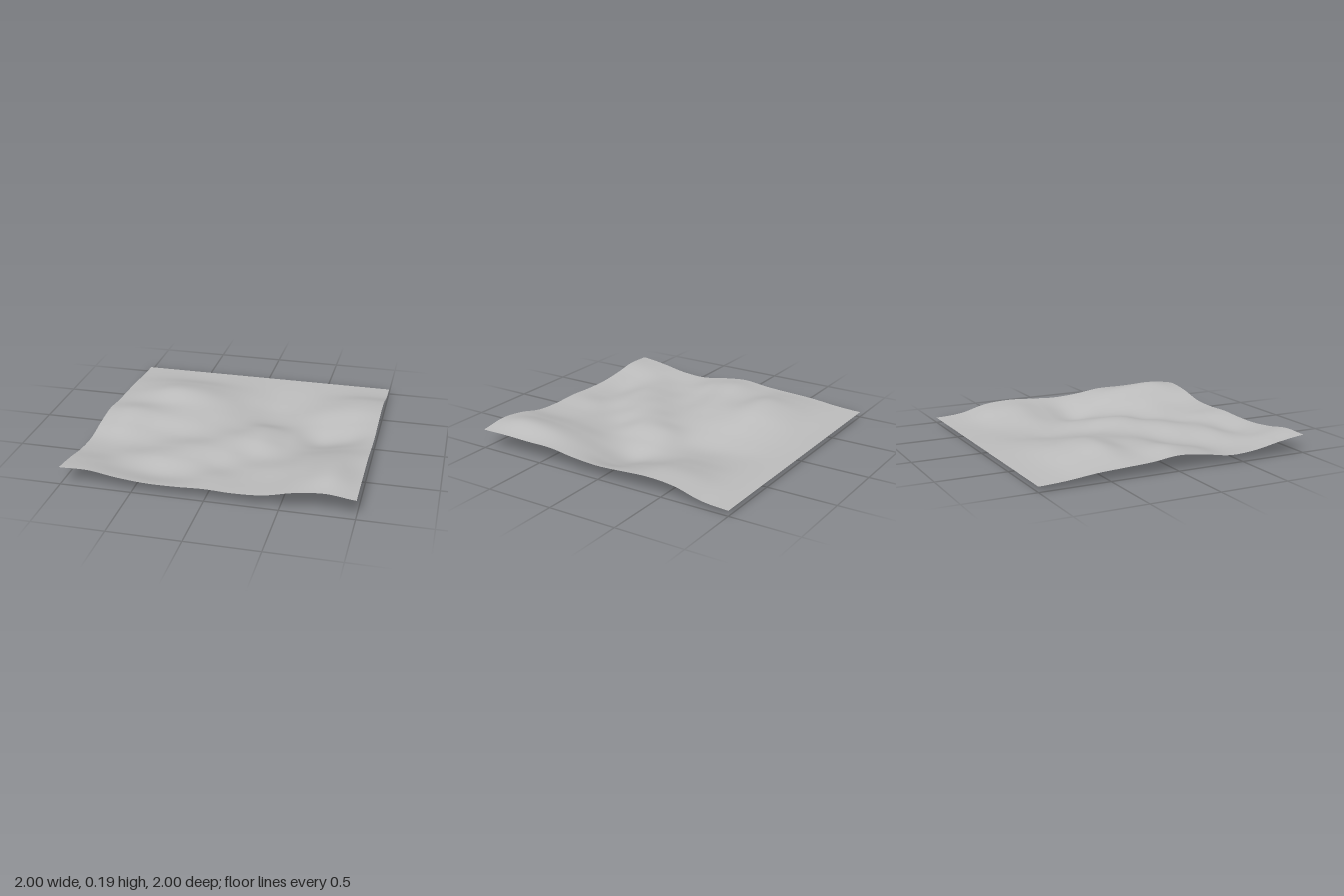
import * as THREE from 'three';

// Control heights in hundredths: rows run from back to front, columns from -x to +x
const HEIGHTS = [
  [4.5, 4.5, 4.5, 4.5, 4.5, 4.5, 4.5, 4.5, 4.5, 4.5, 4.5],
  [5.5, 6.0, 6.2, 6.0, 5.5, 4.7, 4.0, 4.2, 5.0, 6.0, 6.0],
  [7.5, 9.5, 11.3, 10.8, 8.0, 5.0, 2.6, 3.6, 7.0, 10.5, 11.0],
  [8.5, 11.5, 14.9, 13.8, 9.5, 4.5, 1.3, 3.2, 7.5, 11.5, 12.5],
  [9.5, 10.5, 11.0, 11.0, 8.5, 5.0, 2.6, 3.0, 4.0, 8.0, 11.5],
  [11.5, 13.3, 11.0, 9.0, 7.0, 6.5, 8.5, 5.0, 0.7, 4.5, 10.5],
  [9.5, 10.0, 7.0, 5.7, 6.7, 9.0, 9.3, 5.5, 5.5, 9.0, 11.7],
  [6.5, 5.8, 5.5, 7.5, 9.3, 8.5, 5.5, 6.5, 10.8, 14.5, 14.2],
  [7.5, 6.7, 7.7, 8.8, 8.0, 6.0, 6.7, 9.0, 13.8, 18.0, 14.3],
  [11.0, 10.5, 7.5, 5.4, 6.2, 8.5, 8.0, 9.5, 14.8, 19.3, 14.7],
  [13.5, 13.8, 10.8, 9.0, 9.0, 9.8, 9.2, 10.4, 14.8, 16.8, 14.5],
];
const LAST = HEIGHTS.length - 1;
const SEGMENTS = 100;

// Smooth curve through four neighbouring values
function cubic(a, b, c, d, t) {
  return b + 0.5 * t * (c - a + t * (2 * a - 5 * b + 4 * c - d + t * (3 * (b - c) + d - a)));
}

// Samples a list of control values at a fractional index
function sample(at, u) {
  const i = Math.min(Math.floor(u), LAST - 1);
  const value = (k) => at(THREE.MathUtils.clamp(k, 0, LAST));
  return cubic(value(i - 1), value(i), value(i + 1), value(i + 2), u - i);
}

function heightAt(x, z) {
  const u = THREE.MathUtils.clamp((x + 1) / 2, 0, 1) * LAST;
  const v = THREE.MathUtils.clamp((z + 1) / 2, 0, 1) * LAST;
  return Math.max(0, sample((row) => sample((col) => HEIGHTS[row][col], u), v) / 100);
}

export function createModel() {
  const model = new THREE.Group();
  model.name = 'rollingGround';

  const grey = new THREE.MeshStandardMaterial({ color: 0xbcbcbc, side: THREE.DoubleSide });
  grey.name = 'light grey';

  // Thin square sheet raised into smooth hills and hollows
  const geometry = new THREE.PlaneGeometry(2, 2, SEGMENTS, SEGMENTS).rotateX(-Math.PI / 2);
  const position = geometry.attributes.position;
  for (let i = 0; i < position.count; i++) {
    position.setY(i, heightAt(position.getX(i), position.getZ(i)));
  }
  geometry.computeVertexNormals();

  const terrain = new THREE.Mesh(geometry, grey);
  terrain.name = 'terrain';
  model.add(terrain);
  return model;
}
